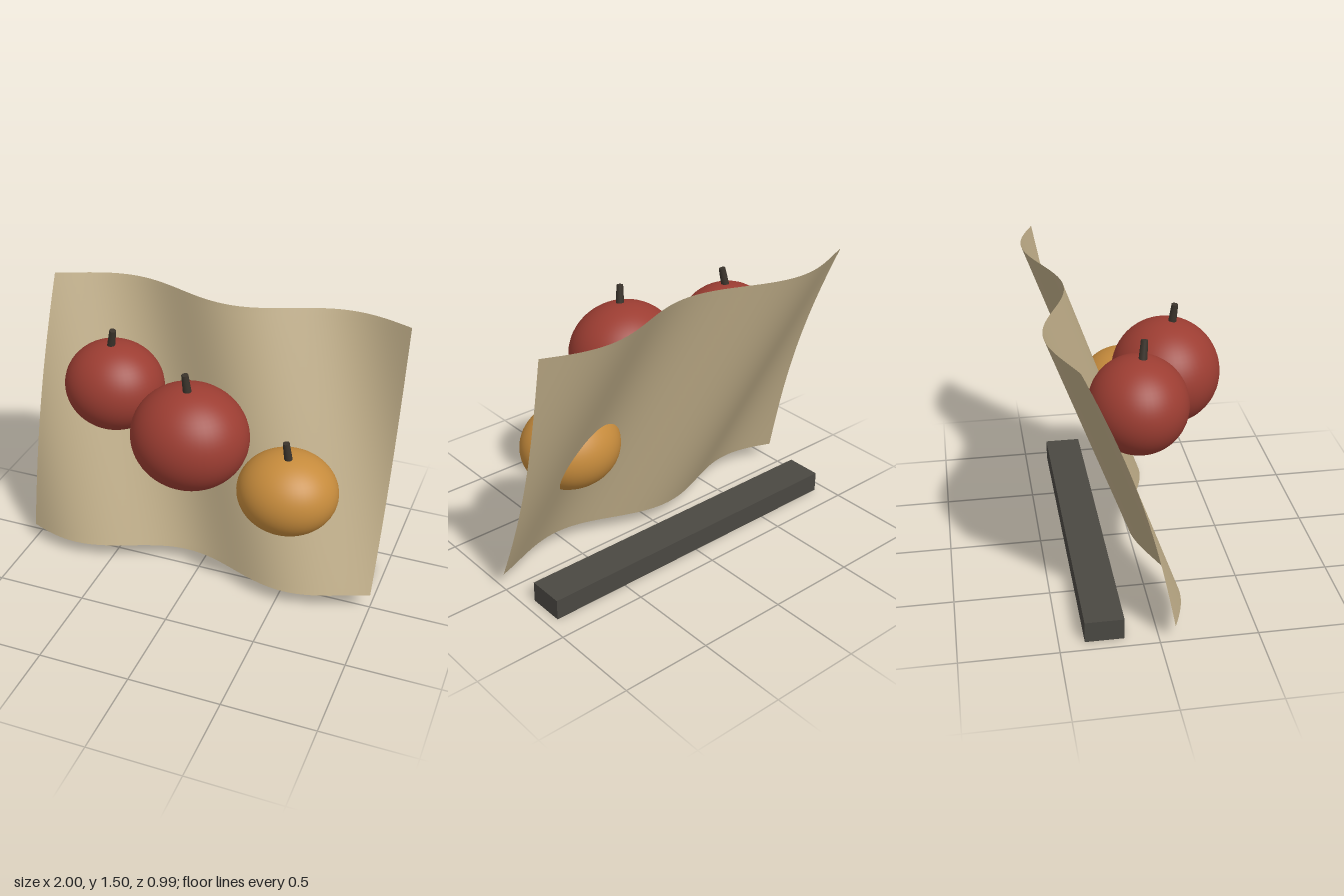
import * as THREE from 'three';

const material = (color, side = THREE.FrontSide) => {
  const m = new THREE.MeshStandardMaterial({ color });
  m.side = side;
  return m;
};

// Leaning sheet: folds run across x and drift sideways with height
function makeSheet(mat) {
  const bottom = 0.09, height = 1.415;
  const geo = new THREE.PlaneGeometry(2, height, 80, 40);
  const pos = geo.attributes.position;
  for (let i = 0; i < pos.count; i++) {
    const x = pos.getX(i);
    const t = pos.getY(i) / height + 0.5;
    const crest = 0.55 - 0.5 * t;
    const z = 0.067 - 0.479 * t + 0.083 * Math.cos(5 * (x - crest));
    pos.setXYZ(i, x, bottom + t * height, z);
  }
  geo.computeVertexNormals();
  const sheet = new THREE.Mesh(geo, mat);
  sheet.name = 'wavySheet';
  return sheet;
}

// Squashed ball with a tapered stem between two points
function makeFruit(name, center, radii, stemBase, stemTop, skin, stemMat) {
  const fruit = new THREE.Group();
  fruit.name = name;
  const body = new THREE.Mesh(new THREE.SphereGeometry(1, 48, 32), skin);
  body.name = name + 'Body';
  body.position.set(...center);
  body.scale.set(...radii);

  const base = new THREE.Vector3(...stemBase), top = new THREE.Vector3(...stemTop);
  const axis = top.clone().sub(base);
  const length = axis.length();
  axis.normalize();
  const sunk = 0.03; // stem root hidden in the fruit
  const stem = new THREE.Mesh(new THREE.CylinderGeometry(0.018, 0.023, length + sunk, 12), stemMat);
  stem.name = name + 'Stem';
  stem.position.copy(base).addScaledVector(axis, (length - sunk) / 2);
  stem.quaternion.setFromUnitVectors(new THREE.Vector3(0, 1, 0), axis);
  fruit.add(body, stem);
  return fruit;
}

export function createModel() {
  const model = new THREE.Group();
  model.name = 'fruitDisplay';
  const red = material(0x9c3d32), amber = material(0xc68b3c), bark = material(0x3b342c);

  model.add(makeSheet(material(0xbfad88, THREE.DoubleSide)));

  // Low bar on the ground behind the sheet
  const bar = new THREE.Mesh(new THREE.BoxGeometry(1.875, 0.115, 0.2), material(0x4a4842));
  bar.name = 'baseBar';
  bar.position.set(0, 0.0575, -0.27);
  model.add(bar);

  model.add(
    makeFruit('upperFruit', [-0.497, 1.077, -0.03], [0.272, 0.247, 0.251],
      [-0.5, 1.32, -0.01], [-0.483, 1.413, 0], red, bark),
    makeFruit('middleFruit', [0.028, 0.999, 0.203], [0.312, 0.283, 0.288],
      [0.028, 1.28, 0.237], [0.02, 1.375, 0.247], red, bark),
    makeFruit('lowerFruit', [0.518, 0.677, 0.05], [0.272, 0.228, 0.25],
      [0.525, 0.9, 0.085], [0.512, 0.998, 0.093], amber, bark),
  );
  return model;
}
